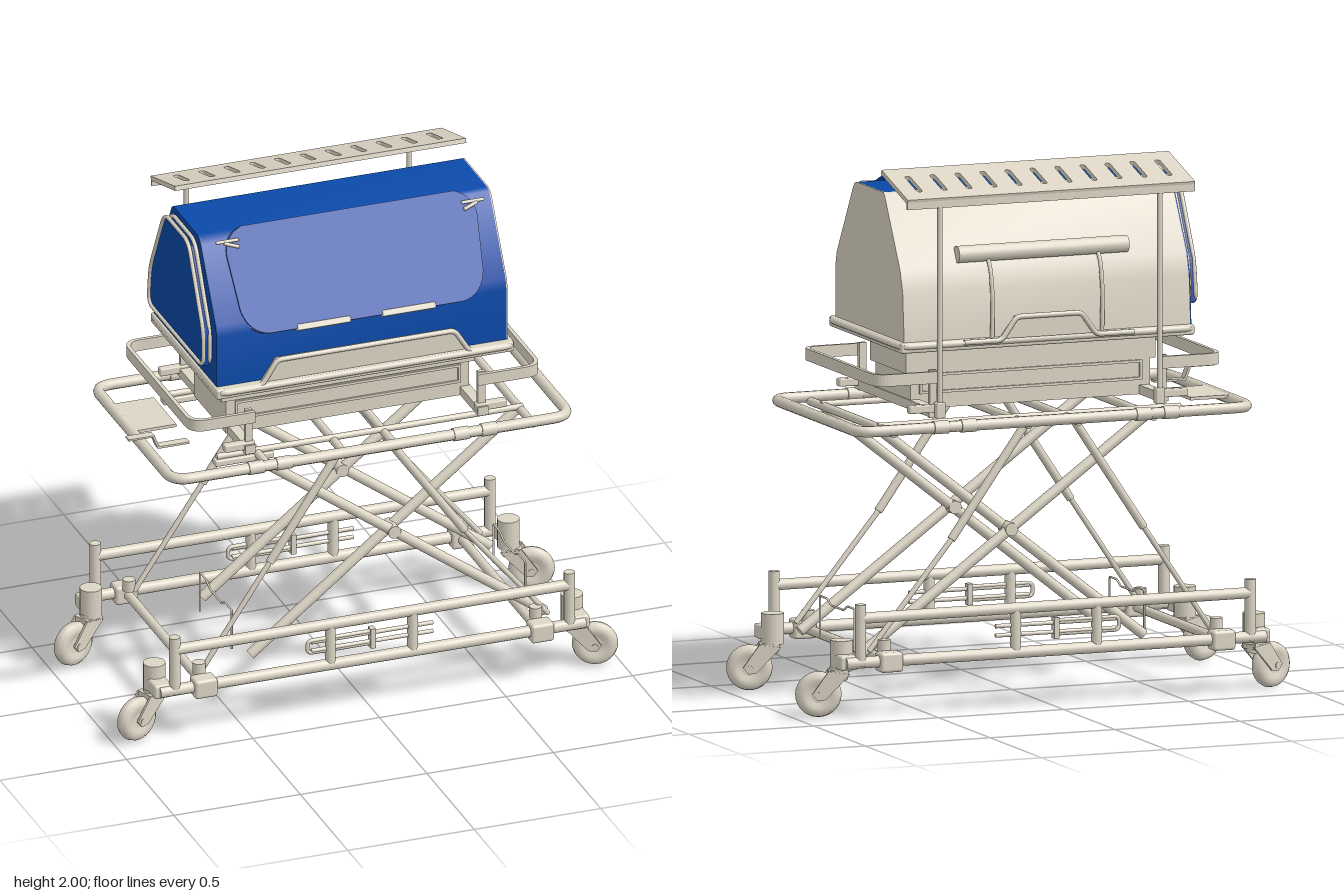
import * as THREE from 'three';
import { RoundedBoxGeometry } from 'three/addons/geometries/RoundedBoxGeometry.js';
import { toCreasedNormals } from 'three/addons/utils/BufferGeometryUtils.js';

const cream = new THREE.MeshStandardMaterial({ color: 0xdcd5c5, side: THREE.DoubleSide });
const blue = new THREE.MeshStandardMaterial({ color: 0x0a49a8, side: THREE.DoubleSide });
const V = (x, y, z) => new THREE.Vector3(x, y, z);

function add(parent, name, geometry, material = cream) {
  const m = new THREE.Mesh(geometry, material);
  m.name = name;
  parent.add(m);
  return m;
}
function group(parent, name) {
  const g = new THREE.Group();
  g.name = name;
  parent.add(g);
  return g;
}
// box given by its extents
function box(parent, name, x0, x1, y0, y1, z0, z1, round = 0) {
  const s = [x1 - x0, y1 - y0, z1 - z0];
  const m = add(parent, name, round ? new RoundedBoxGeometry(...s, 2, round) : new THREE.BoxGeometry(...s));
  m.position.set((x0 + x1) / 2, (y0 + y1) / 2, (z0 + z1) / 2);
  return m;
}
// straight round bar between two points
function rod(parent, name, a, b, r) {
  const A = V(...a), B = V(...b), d = B.clone().sub(A);
  const m = add(parent, name, new THREE.CylinderGeometry(r, r, d.length(), 16));
  m.position.copy(A).addScaledVector(d, 0.5);
  m.quaternion.setFromUnitVectors(V(0, 1, 0), d.normalize());
  return m;
}
// bent tube through points with rounded corners
function bent(parent, name, points, r, corner, closed = false, segments = 120) {
  const p = points.map(q => V(...q)), n = p.length, path = new THREE.CurvePath();
  const toward = (a, b) => a.clone().addScaledVector(b.clone().sub(a).normalize(), corner);
  let last = closed ? toward(p[0], p[1]) : p[0];
  for (let i = 1; i < (closed ? n + 1 : n - 1); i++) {
    const c = p[i % n], s = toward(c, p[i - 1]), e = toward(c, p[(i + 1) % n]);
    path.add(new THREE.LineCurve3(last, s));
    path.add(new THREE.QuadraticBezierCurve3(s, c, e));
    last = e;
  }
  if (!closed) path.add(new THREE.LineCurve3(last, p[n - 1]));
  return add(parent, name, new THREE.TubeGeometry(path, segments, r, 10, closed));
}
const polygon = pts => new THREE.Shape(pts.map(p => new THREE.Vector2(...p)));
const plate = (shape, depth) => new THREE.ExtrudeGeometry(shape, { depth, bevelEnabled: false, curveSegments: 8 });
// (z, y) profile extruded along x, smooth over gentle bends
const alongX = (pts, x0, x1) =>
  toCreasedNormals(plate(polygon(pts.map(([z, y]) => [-z, y])), x1 - x0).rotateY(Math.PI / 2).translate(x0, 0, 0), 0.7);

function addHood(root) {
  const g = group(root, 'hood');
  const front = [[0.33, 1.38], [0.33, 1.59], [0.32, 1.63], [0.162, 1.895], [0.148, 1.913], [0.125, 1.92]];
  const back = [[-0.13, 1.92], [-0.145, 1.91], [-0.295, 1.65], [-0.32, 1.57], [-0.335, 1.38]];
  add(g, 'hoodFront', alongX([...front, [-0.13, 1.92], [-0.13, 1.38]], -0.575, 0.565), blue);
  add(g, 'hoodBack', alongX([...back, [-0.13, 1.38]], -0.575, 0.565));
  add(g, 'plainEnd', alongX([...front, ...back], 0.565, 0.57));
  add(g, 'blueEnd', alongX([...front, ...back], -0.58, -0.575), blue);

  // end door with tubular rim
  const door = [[0.29, 1.46], [0.29, 1.6], [0.13, 1.88], [-0.12, 1.88], [-0.27, 1.62], [-0.29, 1.46]];
  add(g, 'endDoor', alongX(door, -0.615, -0.595), blue);
  for (const x of [-0.592, -0.617])
    bent(g, 'endDoorRim', door.map(([z, y]) => [x, y + (y > 1.7 ? 0.02 : -0.005), z]), 0.008, 0.05, true, 150);

  // sloping front door
  const d = group(g, 'frontDoor');
  d.position.set(0, 1.578, 0.344);
  d.rotation.x = -Math.atan2(0.19, 0.33);
  const s = new THREE.Shape();
  s.moveTo(-0.38, 0);
  s.lineTo(0.38, 0);
  s.quadraticCurveTo(0.46, 0.01, 0.48, 0.1);
  s.lineTo(0.495, 0.31);
  s.quadraticCurveTo(0.495, 0.38, 0.42, 0.41);
  s.lineTo(-0.42, 0.41);
  s.quadraticCurveTo(-0.495, 0.38, -0.495, 0.31);
  s.lineTo(-0.48, 0.1);
  s.quadraticCurveTo(-0.46, 0.01, -0.38, 0);
  add(d, 'doorInner', plate(s, 0.006), blue).position.z = -0.005;
  add(d, 'doorOuter', plate(s, 0.007), blue).position.z = 0.016;
  for (const x of [-1, 1]) {
    box(d, 'doorGrip', x * 0.168 - 0.105, x * 0.168 + 0.105, -0.008, 0.016, -0.005, 0.028, 0.005);
    box(d, 'doorHinge', x * 0.485 - 0.045, x * 0.485 + 0.045, 0.355, 0.368, 0.018, 0.034, 0.005);
    rod(d, 'hingePin', [x * 0.445, 0.335, 0.03], [x * 0.5, 0.355, 0.03], 0.007);
  }
  bent(d, 'doorSeal', [[-0.45, 0.06, 0.01], [-0.42, 0.01, 0.01], [0.42, 0.01, 0.01], [0.45, 0.06, 0.01]], 0.005, 0.03);

  // hood tray and lifting handles
  box(g, 'hoodTray', -0.59, 0.585, 1.345, 1.385, -0.345, 0.36, 0.008);
  bent(g, 'trayRim', [[-0.58, 1.37, -0.34], [0.58, 1.37, -0.34], [0.58, 1.37, 0.357], [-0.58, 1.37, 0.357]], 0.013, 0.03, true, 200);
  for (const [w, h, z] of [[0.41, 0.09, 0.332], [0.19, 0.08, -0.356]]) {
    add(g, 'liftPanel', plate(polygon([[-w, 1.38], [w, 1.38], [w - 0.06, 1.38 + h], [0.06 - w, 1.38 + h]]), 0.02)).position.z = z;
    const zr = z > 0 ? z + 0.023 : z - 0.003;
    bent(g, 'liftHandle', [[-w - 0.15, 1.375, zr], [-w, 1.375, zr], [0.06 - w, 1.38 + h, zr],
      [w - 0.06, 1.38 + h, zr], [w, 1.375, zr], [w + 0.15, 1.375, zr]], 0.01, 0.02);
  }
  // rear roll and its hoses
  rod(g, 'rearRoll', [-0.34, 1.695, -0.285], [0.34, 1.695, -0.285], 0.032);
  for (const x of [-0.22, 0.22])
    bent(g, 'rearHose', [[x, 1.69, -0.29], [x, 1.64, -0.325], [x, 1.54, -0.345], [x, 1.37, -0.34]], 0.008, 0.03, false, 40);
}

function addCanopy(root) {
  const g = group(root, 'canopy');
  const w = 0.575, l = 0.268, s = polygon([[-w, 0], [w, 0], [w, l], [-w, l]]);
  for (let i = -5; i <= 5; i++) {
    const h = new THREE.Path(), x = i * 0.1, r = 0.011;
    h.absarc(x, 0.19, r, 0, Math.PI);
    h.absarc(x, 0.075, r, Math.PI, Math.PI * 2);
    h.closePath();
    s.holes.push(h);
  }
  // slotted roof rising towards the front
  const roof = group(g, 'canopyRoof');
  roof.position.set(0, 1.91, -0.378);
  roof.rotation.x = -Math.atan2(0.075, 0.255);
  add(roof, 'slottedPanel', plate(s, 0.018).rotateX(Math.PI / 2).translate(0, 0.018, 0));
  box(g, 'rearLip', -w, w, 1.89, 1.925, -0.38, -0.37);
  for (const x of [-0.44, 0.44]) {
    rod(g, 'canopyPost', [x, 1.1, -0.366], [x, 1.91, -0.366], 0.01);
    box(g, 'postClamp', x - 0.018, x + 0.018, 1.1, 1.16, -0.38, -0.345, 0.005);
  }
}

function addDeck(root) {
  const g = group(root, 'deck');
  box(g, 'upperCase', -0.505, 0.495, 1.24, 1.35, -0.17, 0.18);
  box(g, 'lowerCase', -0.485, 0.475, 1.105, 1.24, -0.165, 0.175);
  for (const z of [-0.167, 0.177]) {
    for (const y of [1.165, 1.23]) box(g, 'caseRail', -0.45, 0.44, y - 0.005, y + 0.005, z - 0.006, z + 0.006);
    for (const x of [-0.45, 0.43]) box(g, 'caseRib', x, x + 0.01, 1.16, 1.235, z - 0.006, z + 0.006);
  }
  // wrap-around end grips
  const u = new THREE.Shape();
  u.moveTo(0.44, 0.365); u.lineTo(0.63, 0.365);
  u.quadraticCurveTo(0.695, 0.365, 0.695, 0.3); u.lineTo(0.695, -0.3);
  u.quadraticCurveTo(0.695, -0.365, 0.63, -0.365); u.lineTo(0.44, -0.365);
  u.lineTo(0.44, -0.35); u.lineTo(0.625, -0.35);
  u.quadraticCurveTo(0.68, -0.35, 0.68, -0.295); u.lineTo(0.68, 0.295);
  u.quadraticCurveTo(0.68, 0.35, 0.625, 0.35); u.lineTo(0.44, 0.35);
  for (const a of [0, Math.PI]) {
    const m = add(g, 'endGrip', plate(u, 0.045).rotateX(Math.PI / 2));
    m.position.y = 1.275;
    m.rotation.y = a;
  }
  for (const x of [-0.46, 0.46]) {
    box(g, 'deckCrossbar', x - 0.02, x + 0.02, 1.105, 1.14, -0.355, 0.365);
    for (const z of [-0.342, 0.342]) {
      box(g, 'gripPost', x - 0.014, x + 0.014, 1.1, 1.28, z - 0.008, z + 0.008);
      box(g, 'gripFoot', x * 1.08 - 0.06, x * 1.08 + 0.06, 1.12, 1.15, z - 0.016, z + 0.016, 0.005);
    }
  }
  // bed frame
  const f = group(root, 'bedFrame');
  bent(f, 'frameLoop', [[-0.785, 1.075, -0.42], [0.785, 1.075, -0.42], [0.785, 1.075, 0.42], [-0.785, 1.075, 0.42]], 0.021, 0.07, true, 240);
  for (const x of [-0.4, -0.1, 0.1, 0.64]) rod(f, 'frameCrossbar', [x, 1.06, -0.41], [x, 1.06, 0.41], 0.016);
  for (const z of [-0.275, 0.275]) {
    rod(f, 'innerRail', [-0.56, 1.07, z], [0.65, 1.07, z], 0.012);
    box(f, 'slideRail', -0.57, -0.34, 1.035, 1.06, z - 0.02, z + 0.02, 0.006);
  }
  for (const z of [-0.42, 0.42]) for (const x of [-0.46, -0.35, 0.35, 0.46])
    rod(f, 'frameCuff', [x - 0.03, 1.075, z], [x + 0.03, 1.075, z], 0.025);
  box(f, 'endTray', -0.785, -0.62, 1.08, 1.092, -0.23, 0.01);
  add(f, 'releaseLever', plate(polygon([[-0.87, 1.14], [-0.775, 1.14], [-0.755, 1.09], [-0.63, 1.09],
    [-0.63, 1.098], [-0.749, 1.098], [-0.768, 1.147], [-0.87, 1.147]]), 0.035)).position.z = 0.142;
}

function addScissors(root) {
  const g = group(root, 'scissorLift');
  for (const s of [-1, 1]) {
    rod(g, 'scissorLegOuter', [-0.41, 1.045, s * 0.292], [0.73, 0.22, s * 0.292], 0.02);
    rod(g, 'scissorLegInner', [0.645, 1.06, s * 0.255], [-0.42, 0.22, s * 0.255], 0.02);
    rod(g, 'scissorPivot', [0.13, 0.655, s * 0.235], [0.13, 0.655, s * 0.315], 0.025);
    for (const [x0, xm, x1] of [[-0.1, -0.38, -0.65], [0.09, 0.39, 0.72]]) {
      rod(g, 'strutSleeve', [x0, 1.06, s * 0.355], [xm, 0.64, s * 0.355], 0.016);
      rod(g, 'strutRod', [xm, 0.64, s * 0.355], [x1, 0.24, s * 0.355], 0.01);
    }
  }
}

function addBase(root) {
  const g = group(root, 'base');
  for (const z of [-0.42, 0.42]) {
    rod(g, 'lowerRail', [-0.84, 0.212, z], [0.84, 0.212, z], 0.022);
    rod(g, 'upperRail', [-0.78, 0.378, z], [0.78, 0.378, z], 0.021);
    for (const x of [-0.165, 0.16]) rod(g, 'railPost', [x, 0.21, z], [x, 0.38, z], 0.02);
    for (const y of [0.28, 0.315]) rod(g, 'hookBar', [-0.24, y, z], [0.24, y, z], 0.008);
    bent(g, 'hookLoop', [[0, 0.273, z], [-0.255, 0.273, z], [-0.255, 0.322, z], [0, 0.322, z]], 0.008, 0.02);
    box(g, 'hookClamp', -0.01, 0.01, 0.255, 0.335, z - 0.015, z + 0.015);
    for (const x of [-0.665, 0.665]) {
      box(g, 'railBracket', x - 0.045, x + 0.045, 0.172, 0.247, z - 0.035, z + 0.035, 0.012);
      rod(g, 'strutMount', [x, 0.24, z * 0.88], [x, 0.285, z * 0.88], 0.024);
    }
  }
  for (const x of [-0.66, 0.66]) rod(g, 'baseCrossbar', [x, 0.21, -0.42], [x, 0.21, 0.42], 0.018);
  // bent wire holders
  for (const x of [-0.46, 0.7])
    bent(g, 'wireHolder', [[x, 0.21, -0.168], [x, 0.37, -0.168], [x, 0.37, -0.1], [x, 0.35, -0.06], [x, 0.35, 0.06],
      [x, 0.37, 0.1], [x, 0.37, 0.168], [x, 0.21, 0.168]], 0.004, 0.008, false, 160);

  // swivel casters with corner posts
  const tyre = [[0.03, -0.02], [0.05, -0.026], [0.068, -0.028], [0.081, -0.016], [0.086, 0],
    [0.081, 0.016], [0.068, 0.028], [0.05, 0.026], [0.03, 0.02]].map(p => new THREE.Vector2(...p));
  for (const sx of [-1, 1]) for (const sz of [-1, 1]) {
    rod(g, 'cornerPost', [sx * 0.78, 0.2, sz * 0.42], [sx * 0.78, 0.43, sz * 0.42], 0.021);
    const c = group(g, 'caster');
    c.position.set(sx * 0.825, 0, sz > 0 ? 0.325 : -0.345);
    rod(c, 'swivelHousing', [0, 0.175, 0], [0, 0.29, 0], 0.042);
    box(c, 'housingArm', -0.035, 0.035, 0.185, 0.24, sz > 0 ? 0 : -0.08, sz > 0 ? 0.1 : 0, 0.01);
    const w = group(c, 'swivelFork');
    w.rotation.y = sx > 0 ? -0.35 : Math.PI + 0.35;
    rod(w, 'swivelStem', [0.01, 0.14, 0], [0.01, 0.19, 0], 0.034);
    for (const z of [-0.034, 0.034])
      add(w, 'forkCheek', plate(polygon([[-0.03, 0.165], [0.05, 0.175], [0.11, 0.09], [0.09, 0.065], [0.06, 0.07]]), 0.008)).position.z = z - 0.004;
    box(w, 'forkBridge', -0.025, 0.05, 0.155, 0.178, -0.036, 0.036);
    add(w, 'wheel', new THREE.LatheGeometry(tyre, 28).rotateX(Math.PI / 2)).position.set(0.086, 0.086, 0);
    rod(w, 'wheelHub', [0.086, 0.086, -0.018], [0.086, 0.086, 0.018], 0.035);
    rod(w, 'axle', [0.086, 0.086, -0.041], [0.086, 0.086, 0.041], 0.012);
  }
}

export function createModel() {
  const root = new THREE.Group();
  root.name = 'transportIncubator';
  [addHood, addCanopy, addDeck, addScissors, addBase].forEach(build => build(root));
  return root;
}
